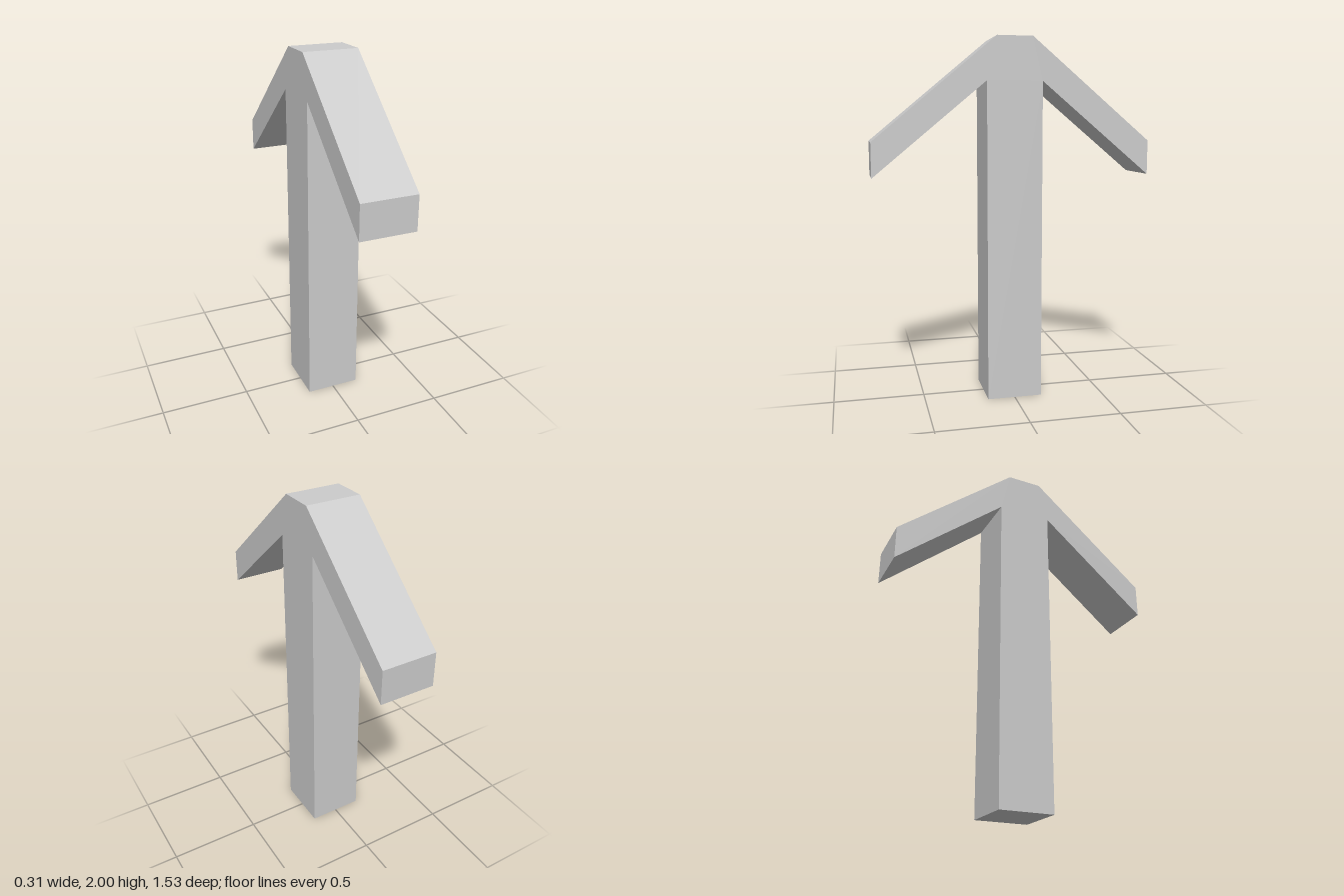
import * as THREE from 'three';

const WIDTH = 0.305;

export function createModel() {
  const model = new THREE.Group();
  model.name = 'arrowPost';

  // Half outline (z, y) from the foot up the post, around the arm, to the flat top
  const half = [
    [0.153, 0], [0.153, 1.765], [0.767, 1.255], [0.767, 1.443], [0.098, 2],
  ];
  const mirrored = half.map(([z, y]) => [-z, y]).reverse();
  const outline = new THREE.Shape([...half, ...mirrored].map(([z, y]) => new THREE.Vector2(z, y)));

  // Post and both sloping arms as one solid, turned so the arms run along z
  const geometry = new THREE.ExtrudeGeometry(outline, { depth: WIDTH, bevelEnabled: false });
  geometry.translate(0, 0, -WIDTH / 2);
  geometry.rotateY(-Math.PI / 2);

  const material = new THREE.MeshStandardMaterial({ color: 0xcccccc, flatShading: true });
  const post = new THREE.Mesh(geometry, material);
  post.name = 'postWithArms';
  model.add(post);
  return model;
}
